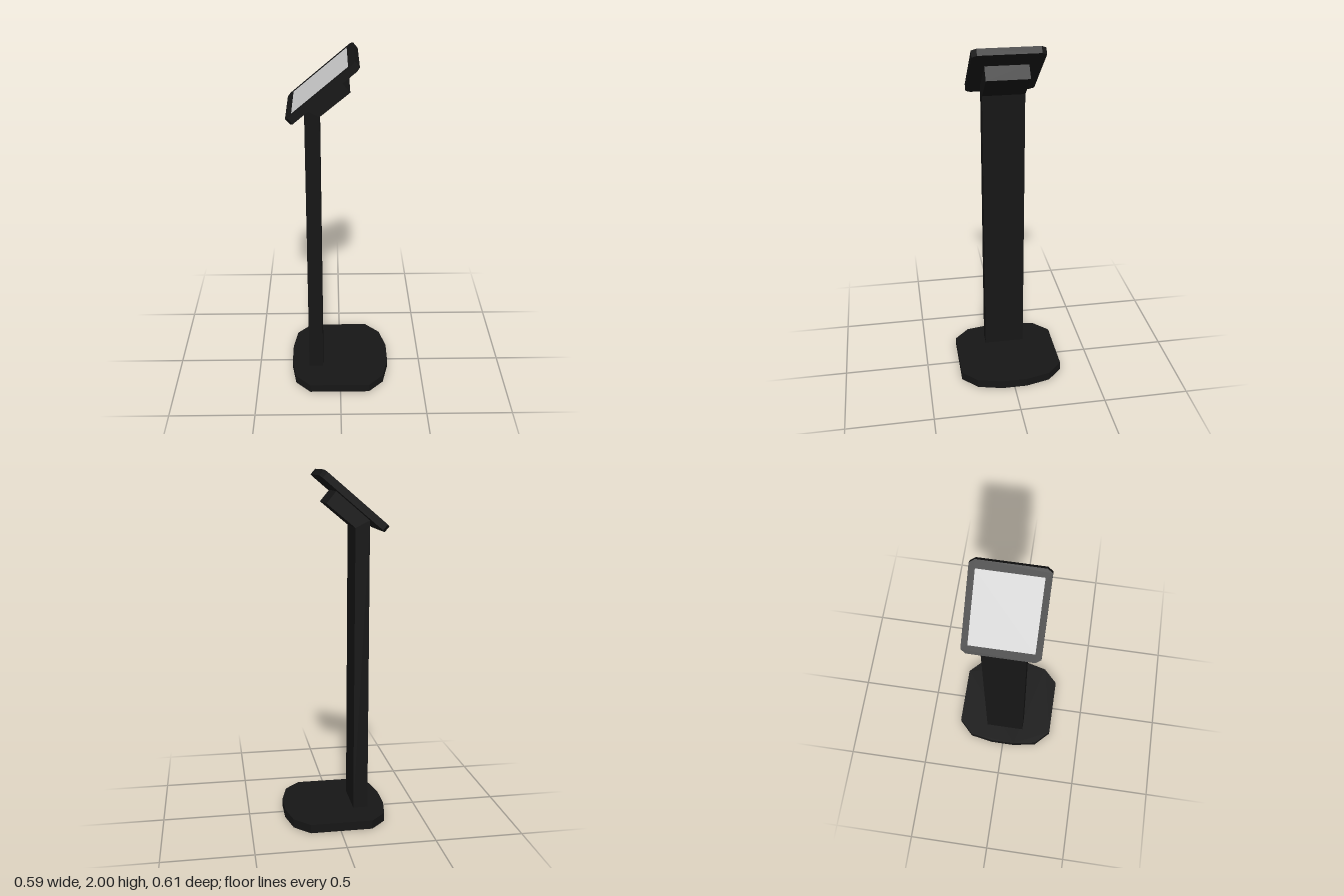
import * as THREE from 'three';

const black = new THREE.MeshStandardMaterial({ color: 0x161616, flatShading: true });
const grey = new THREE.MeshStandardMaterial({ color: 0xcccccc });

const extrude = (points, depth) => new THREE.ExtrudeGeometry(
  new THREE.Shape(points.map(([x, y]) => new THREE.Vector2(x, y))),
  { depth, bevelEnabled: false });

// Flat slab: outline half (x, z >= 0) mirrored across z, extruded upward from y = 0
function slab(half, height) {
  const mirrored = half.map(([x, z]) => [x, -z]).reverse();
  return extrude([...half, ...mirrored], height).rotateX(-Math.PI / 2);
}

function part(name, geometry, material, parent) {
  const mesh = new THREE.Mesh(geometry, material);
  mesh.name = name;
  parent.add(mesh);
  return mesh;
}

export function createModel() {
  const model = new THREE.Group();
  model.name = 'tabletKiosk';

  // Floor plate with faceted rounded outline
  part('base', slab([
    [0.295, 0.075], [0.26, 0.217], [0.172, 0.304],
    [-0.182, 0.304], [-0.27, 0.217], [-0.295, 0.075],
  ], 0.05), black, model);

  // Upright column whose top bends into the sloping support
  part('column', extrude([
    [-0.19, 0.045], [-0.105, 0.045], [-0.107, 1.69], [0.052, 1.822],
    [-0.001, 1.886], [-0.187, 1.73],
  ], 0.24).translate(0, 0, -0.12), black, model);

  // Tilted head: enclosure with clipped corners and a screen
  const head = new THREE.Group();
  head.name = 'head';
  head.position.set(-0.093, 1.835, 0);
  head.rotation.z = THREE.MathUtils.degToRad(40.2);
  model.add(head);

  const a = 0.2325, b = 0.196, c = 0.027;
  part('enclosure', slab([
    [a, b - c], [a - c * 0.7, b], [-a + c * 0.7, b], [-a, b - c],
  ], 0.04).translate(0, -0.02, 0), black, head);

  part('screen', new THREE.BoxGeometry(0.378, 0.004, 0.328), grey, head)
    .position.set(0, 0.0195, 0);

  return model;
}
